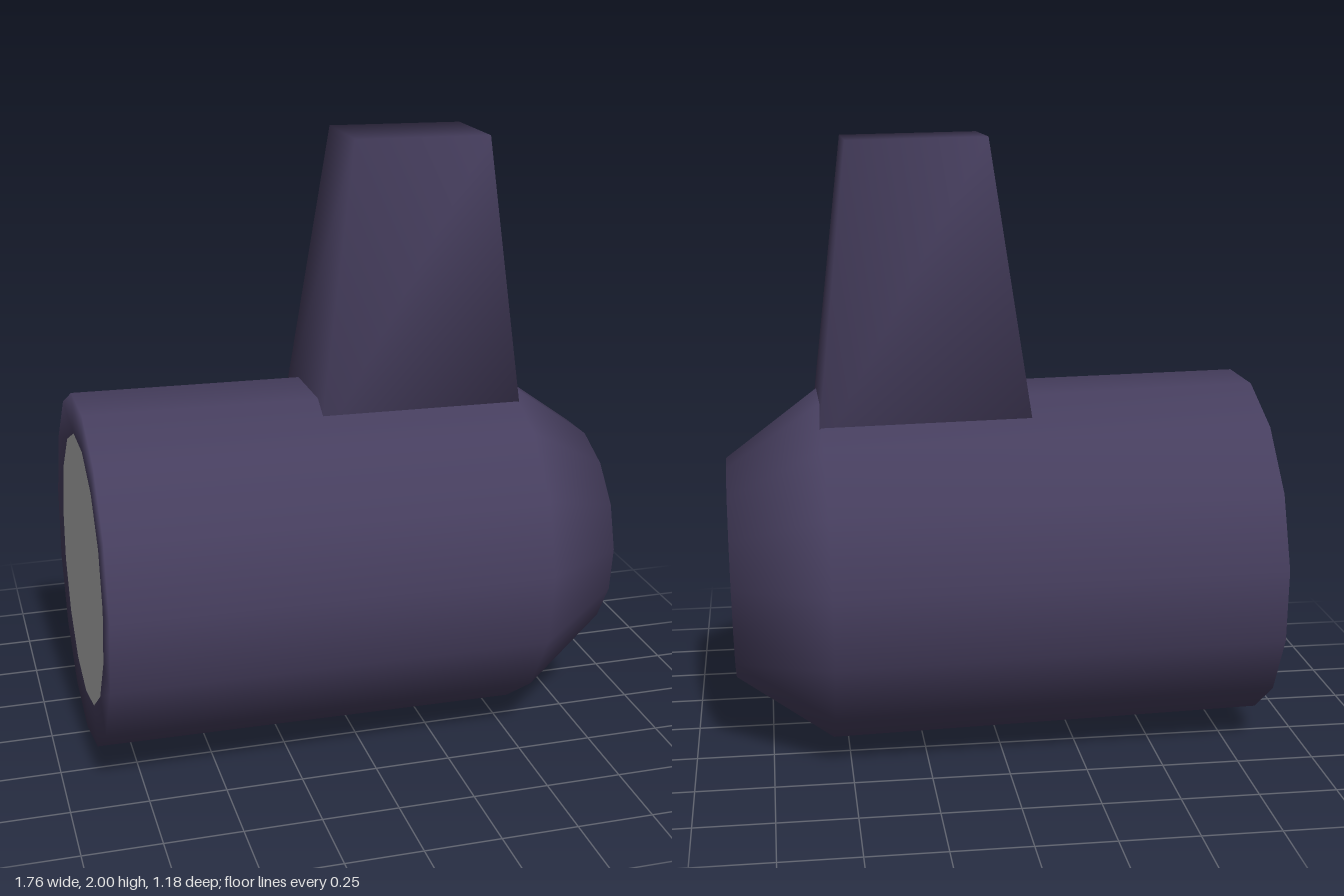
import * as THREE from 'three';
import { mergeVertices } from 'three/addons/utils/BufferGeometryUtils.js';

const SIDES = 15;

function makeMaterial(name, color) {
  const m = new THREE.MeshStandardMaterial({ color });
  m.name = name;
  return m;
}

function addMesh(group, name, geometry, material) {
  const mesh = new THREE.Mesh(geometry, material);
  mesh.name = name;
  group.add(mesh);
  return mesh;
}

// Four-sided post that narrows upward, with soft shared normals
function taperedPost(bottomW, bottomD, topW, topD, y0, y1) {
  let geo = new THREE.BoxGeometry(1, 1, 1);
  geo.deleteAttribute('uv');
  geo.deleteAttribute('normal');
  geo = mergeVertices(geo);
  const p = geo.attributes.position;
  for (let i = 0; i < p.count; i++) {
    const top = p.getY(i) > 0;
    p.setXYZ(i, p.getX(i) * (top ? topW : bottomW), top ? y1 : y0, p.getZ(i) * (top ? topD : bottomD));
  }
  geo.computeVertexNormals();
  return geo;
}

export function createModel() {
  const dark = makeMaterial('dark purple shell', 0x463e5e);
  const grey = makeMaterial('grey end face', 0xb4b4b4);

  const model = new THREE.Group();
  model.name = 'cylinderWithPost';

  // Everything shares a slight tilt
  const tilted = new THREE.Group();
  tilted.name = 'tiltedAssembly';
  tilted.position.set(0, 0.593, -0.004);
  tilted.rotation.set(0, 0.013, -0.017);
  model.add(tilted);

  // Barrel with a flat rim on one end and a tapered cap on the other
  const profile = [[0.45, -0.87], [0.583, -0.87], [0.583, 0.565], [0.365, 0.873], [0, 0.873]]
    .map(([r, y]) => new THREE.Vector2(r, y));
  const barrel = new THREE.LatheGeometry(profile, SIDES, Math.PI / 2);
  barrel.rotateZ(-Math.PI / 2);
  addMesh(tilted, 'barrel', barrel, dark);

  // Disc filling the rim
  const disc = new THREE.CircleGeometry(0.45, SIDES, -Math.PI / 2);
  disc.rotateY(-Math.PI / 2);
  addMesh(tilted, 'endDisc', disc, grey).position.x = -0.87;

  // Post rising from the barrel
  const post = addMesh(tilted, 'post', taperedPost(0.706, 0.46, 0.45, 0.29, 0.42, 1.407), dark);
  post.position.set(0.23, 0, -0.02);

  return model;
}
